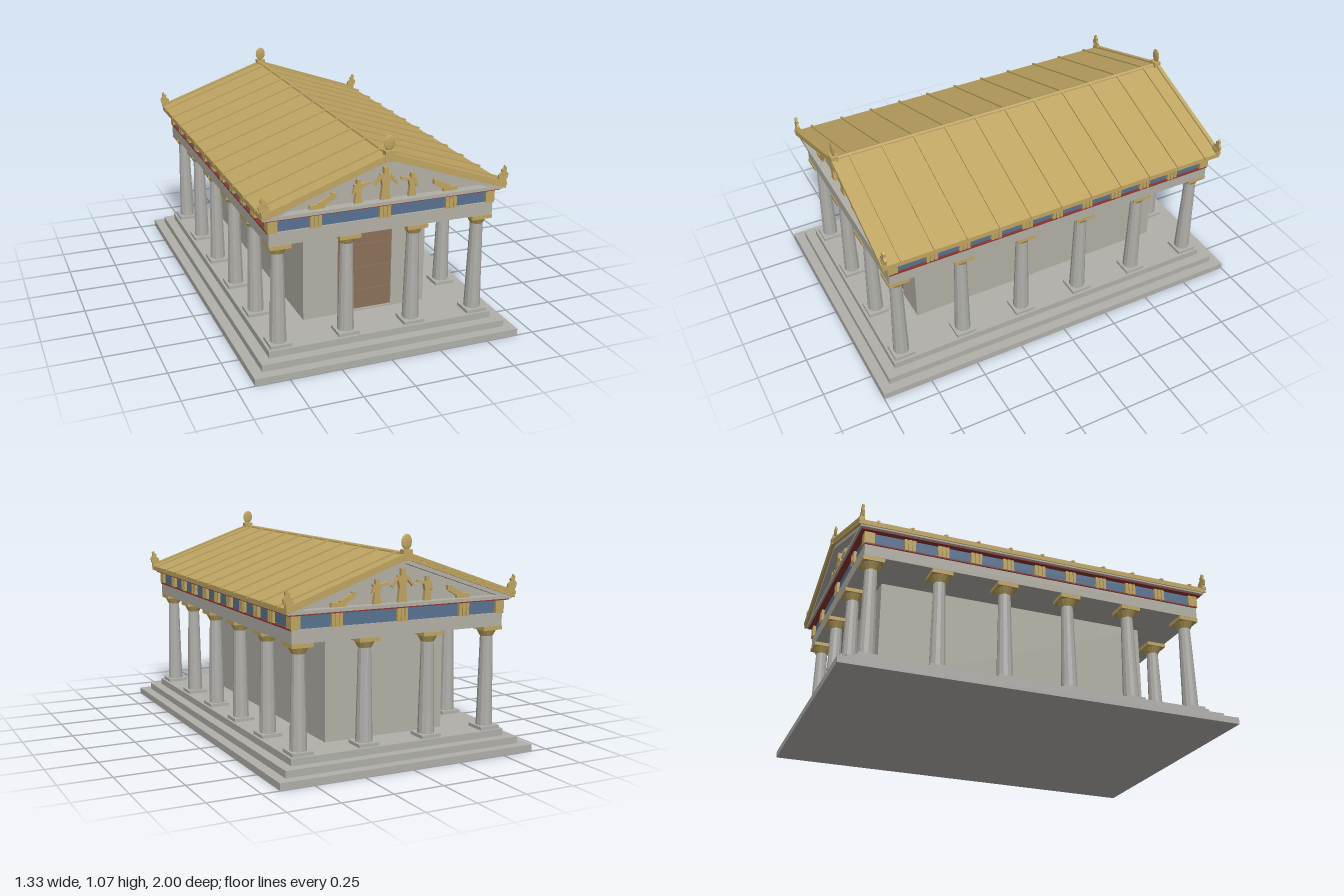
import * as THREE from 'three';

const mat = (name, color) => {
  const m = new THREE.MeshStandardMaterial({ color });
  m.name = name;
  return m;
};

export function createModel() {
  const stone = mat('pale stone', 0xb0afaa);
  const wall = mat('warm stone', 0xb2afa5);
  const gold = mat('gilding', 0xbfa562);
  const blue = mat('frieze blue', 0x587291);
  const red = mat('soffit red', 0x8a3530);
  const wood = mat('door wood', 0x8b7058);
  const faceted = mat('fluted stone', 0xb0afaa);
  const facetedGold = mat('faceted gilding', 0xbfa562);
  faceted.flatShading = facetedGold.flatShading = true;

  const model = new THREE.Group();
  model.name = 'temple';

  const add = (parent, name, geo, material, x = 0, y = 0, z = 0) => {
    const m = new THREE.Mesh(geo, material);
    m.name = name;
    m.position.set(x, y, z);
    parent.add(m);
    return m;
  };
  // Box given by its size, its bottom height and its centre in x and z
  const box = (parent, name, material, w, h, d, x, y0, z) =>
    add(parent, name, new THREE.BoxGeometry(w, h, d), material, x, y0 + h / 2, z);
  const group = (name, parent = model) => {
    const g = new THREE.Group();
    g.name = name;
    parent.add(g);
    return g;
  };
  const polygon = (pts) => new THREE.Shape(pts.map(([x, y]) => new THREE.Vector2(x, y)));
  const extrude = (shape, depth) => new THREE.ExtrudeGeometry(shape, { depth, bevelEnabled: false });

  // Stepped base
  for (let i = 0; i < 3; i++)
    box(model, 'step', stone, 1.33 - i * 0.1, 0.0335, 2 - i * 0.1, 0, i * 0.0333, 0);

  // Inner chamber with a recessed door
  const chamber = group('chamber');
  for (const s of [-1, 1]) {
    box(chamber, 'sideWall', wall, 0.04, 0.505, 1.4, s * 0.295, 0.1, -0.033);
    box(chamber, 'frontWall', wall, 0.135, 0.505, 0.04, s * 0.2075, 0.1, 0.647);
  }
  box(chamber, 'backWall', wall, 0.55, 0.505, 0.04, 0, 0.1, -0.713);
  box(chamber, 'threshold', wall, 0.28, 0.008, 0.04, 0, 0.1, 0.647);
  box(chamber, 'door', wood, 0.28, 0.497, 0.02, 0, 0.108, 0.647);
  for (const y of [0.2, 0.32, 0.44]) box(chamber, 'doorRail', wood, 0.27, 0.008, 0.006, 0, y, 0.659);

  // Columns around the edge
  const shaftGeo = new THREE.CylinderGeometry(0.03, 0.04, 0.44, 12);
  const echinusGeo = new THREE.CylinderGeometry(0.049, 0.032, 0.032, 12);
  const column = (x, z) => {
    const c = group('column');
    c.position.set(x, 0.1, z);
    box(c, 'columnBase', stone, 0.104, 0.016, 0.104, 0, 0, 0);
    add(c, 'shaft', shaftGeo, faceted, 0, 0.236, 0);
    add(c, 'echinus', echinusGeo, facetedGold, 0, 0.471, 0);
    box(c, 'abacus', gold, 0.104, 0.019, 0.104, 0, 0.486, 0);
  };
  for (const z of [-0.835, -0.5, -0.167, 0.167, 0.5, 0.835])
    for (const x of [-0.5, -0.167, 0.167, 0.5])
      if (Math.abs(x) > 0.4 || Math.abs(z) > 0.8) column(x, z);

  // Beam, frieze and cornice
  box(model, 'architrave', wall, 1.106, 0.063, 1.766, 0, 0.605, 0);
  box(model, 'frieze', blue, 1.09, 0.07, 1.75, 0, 0.666, 0);
  for (const s of [-1, 1]) box(model, 'redFillet', red, 0.012, 0.007, 1.766, s * 0.553, 0.664, 0);
  box(model, 'soffit', red, 1.15, 0.007, 1.81, 0, 0.731, 0);
  box(model, 'cornice', wall, 1.17, 0.016, 1.83, 0, 0.738, 0);

  // Grooved frieze blocks, facing +z before they are turned
  const triglyph = (x, z, turn) => {
    const t = group('triglyph');
    t.position.set(x, 0.667, z);
    t.rotation.y = turn;
    box(t, 'triglyphPlate', gold, 0.056, 0.062, 0.012, 0, 0, 0);
    for (const dx of [-0.02, 0, 0.02]) box(t, 'triglyphBar', gold, 0.015, 0.062, 0.006, dx, 0, 0.009);
  };
  for (const s of [-1, 1]) {
    for (const x of [-0.333, 0, 0.333]) triglyph(x, s * 0.877, s > 0 ? 0 : Math.PI);
    for (let i = -4; i <= 4; i++) triglyph(s * 0.547, i / 6, s * Math.PI / 2);
    for (const t of [-1, 1]) box(model, 'cornerTriglyph', gold, 0.045, 0.062, 0.05, s * 0.536, 0.667, t * 0.864);
  }

  // Roof slabs, ridge and ribs; the slope falls 0.35 for each unit of x
  const slope = 0.35;
  const chevron = (half, top, thick) => polygon([
    [-half, top - thick - slope * half], [0, top - thick], [half, top - thick - slope * half],
    [half, top - slope * half], [0, top], [-half, top - slope * half]]);
  add(model, 'roof', extrude(chevron(0.595, 0.975, 0.024), 1.85), gold, 0, 0, -0.925);
  add(model, 'ridge', new THREE.CylinderGeometry(0.011, 0.011, 1.85, 8).rotateX(Math.PI / 2), gold, 0, 0.973, 0);
  const ribGeo = extrude(chevron(0.6, 0.983, 0.014), 0.011);
  for (let i = -5; i <= 5; i++) add(model, 'roofRib', ribGeo, gold, 0, 0, i / 6 - 0.0055);

  // Gable infill under the roof
  const gable = polygon([[-0.57, 0.753], [0.57, 0.753], [0, 0.952]]);
  add(model, 'tympanum', extrude(gable, 1.74), wall, 0, 0, -0.87);

  // Raking frame, sculptures and finials for one gable
  const frame = polygon([[-0.585, 0.747], [0.585, 0.747], [0, 0.952]]);
  frame.holes.push(new THREE.Path([[-0.515, 0.753], [0, 0.932], [0.515, 0.753]].map(([x, y]) => new THREE.Vector2(x, y))));
  const frameGeo = extrude(frame, 0.045);
  const edgeGeo = extrude(chevron(0.597, 0.984, 0.016), 0.02);
  const figureDepth = 0.018;
  const robe = (w, top) => extrude(polygon([
    [-w, 0.753], [w, 0.753], [w * 0.7, 0.753 + (top - 0.753) * 0.55], [w * 1.15, top],
    [-w * 1.15, top], [-w * 0.7, 0.753 + (top - 0.753) * 0.55]]), figureDepth);
  const curl = extrude(polygon([
    [-0.018, 0], [0.02, 0], [0.022, 0.015], [0.004, 0.03], [0.0, 0.042], [0.012, 0.048],
    [0.016, 0.062], [0.026, 0.052], [0.024, 0.034], [0.036, 0.02], [0.03, -0.004], [-0.01, -0.006]
  ].slice(3, 12).concat([[-0.012, -0.004], [-0.014, 0.016]])), 0.012);
  const limb = (g, x1, y1, x2, y2, w, z = 0.881) => {
    const m = add(g, 'limb', new THREE.BoxGeometry(Math.hypot(x2 - x1, y2 - y1), w, 0.015), gold,
      (x1 + x2) / 2, (y1 + y2) / 2, z);
    m.rotation.z = Math.atan2(y2 - y1, x2 - x1);
  };

  for (const turn of [0, Math.PI]) {
    const g = group('gable');
    g.rotation.y = turn;
    add(g, 'rakingCornice', frameGeo, wall, 0, 0, 0.866);
    add(g, 'rakingEdge', edgeGeo, gold, 0, 0, 0.908);

    // Central standing figure
    const centre = group('centralFigure', g);
    add(centre, 'robe', robe(0.024, 0.876), gold, 0, 0, 0.87);
    box(centre, 'head', gold, 0.022, 0.032, 0.02, 0, 0.876, 0.881);

    for (const s of [-1, 1]) {
      limb(centre, s * 0.02, 0.87, s * 0.056, 0.828, 0.013);

      // Standing attendants
      const side = group('attendant', g);
      add(side, 'robe', robe(0.019, 0.842), gold, s * 0.132, 0, 0.87);
      box(side, 'head', gold, 0.017, 0.023, 0.018, s * 0.132, 0.842, 0.88);
      limb(side, s * 0.12, 0.836, s * 0.076, 0.846, 0.011);
      limb(side, s * 0.145, 0.838, s * 0.156, 0.8, 0.011);

      // Reclining figures in the corners
      const low = group('recliningFigure', g);
      limb(low, s * 0.364, 0.764, s * 0.29, 0.764, 0.02);
      limb(low, s * 0.315, 0.768, s * 0.255, 0.8, 0.026);
      box(low, 'head', gold, 0.02, 0.022, 0.018, s * 0.25, 0.795, 0.881);

      // Curled corner finials
      const corner = group('cornerFinial', g);
      box(corner, 'finialBase', gold, 0.04, 0.03, 0.02, s * 0.577, 0.765, 0.912);
      const c = add(corner, 'curl', curl, gold, s * 0.573, 0.79, 0.906);
      if (s < 0) {
        c.rotation.y = Math.PI;
        c.position.z = 0.918;
      }
    }

    // Ridge finial
    box(g, 'ridgeFinialBase', gold, 0.046, 0.05, 0.034, 0, 0.945, 0.912);
    add(g, 'ridgeFinial', new THREE.SphereGeometry(1, 10, 8).scale(0.028, 0.036, 0.007), facetedGold, 0, 1.029, 0.912);
  }

  return model;
}
